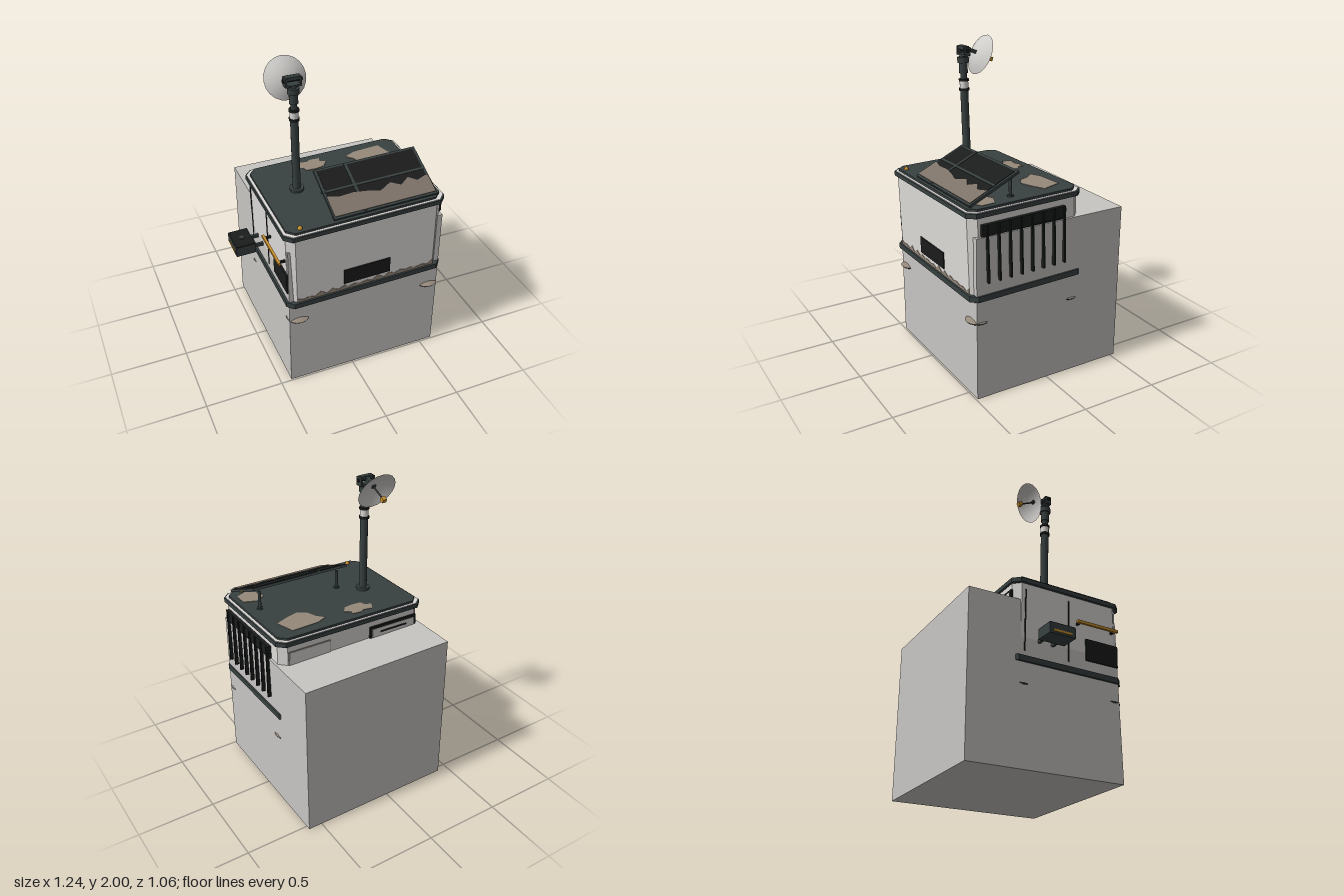
import * as THREE from 'three';

const mat = (name, color, double = false) => {
  const m = new THREE.MeshStandardMaterial({ color });
  m.name = name;
  if (double) m.side = THREE.DoubleSide;
  return m;
};

export function createModel() {
  const model = new THREE.Group();
  model.name = 'fieldShelter';
  const wall = mat('wallWhite', 0xdddbd8), block = mat('blockGrey', 0xc8c6c3);
  const dark = mat('darkSlate', 0x384040), black = mat('black', 0x1b1c1c);
  const mud = mat('mud', 0x96897b), dryMud = mat('panelMud', 0x7d7268);
  const amber = mat('amber', 0xc8902e), dishMat = mat('dishGrey', 0xcfcdca, true);

  const add = (parent, name, geo, material, x = 0, y = 0, z = 0) => {
    const m = new THREE.Mesh(geo, material);
    m.name = name;
    m.position.set(x, y, z);
    parent.add(m);
    return m;
  };
  const box = (parent, name, material, w, h, d, x, y, z) =>
    add(parent, name, new THREE.BoxGeometry(w, h, d), material, x, y, z);
  const cyl = (parent, name, material, r0, r1, h, x, y, z, n = 12) =>
    add(parent, name, new THREE.CylinderGeometry(r0, r1, h, n), material, x, y, z);
  const extrude = (pts, depth) => new THREE.ExtrudeGeometry(
    new THREE.Shape(pts.map(p => new THREE.Vector2(p[0], p[1]))), { depth, bevelEnabled: false });
  // Horizontal slab from x,z outline points
  const slab = (pts, h) => extrude(pts.map(p => [p[0], -p[1]]), h).rotateX(-Math.PI / 2);
  // Horizontal slab with chamfered corners
  const octagon = (a, b, c, h) => slab([[-a + c, -b], [a - c, -b], [a, -b + c], [a, b - c],
    [a - c, b], [-a + c, b], [-a, b - c], [-a, -b + c]], h);

  // Large block that the shelter sinks into
  box(model, 'block', block, 1.02, 1.03, 1.02, 0.08, 0.515, -0.02);

  // Foot pads
  for (const x of [-0.365, 0.53]) for (const z of [0.455, -0.17]) {
    cyl(model, 'footPadRim', dark, 0.072, 0.066, 0.008, x, 0.497, z, 16);
    cyl(model, 'footPad', mud, 0.025, 0.072, 0.018, x, 0.51, z, 16);
  }

  // Shelter, settled at a slight tilt
  const cabin = new THREE.Group();
  cabin.name = 'cabin';
  cabin.position.set(0.078, 0.636, 0.135);
  cabin.rotation.set(0.02, 0, 0.02);
  model.add(cabin);
  add(cabin, 'walls', octagon(0.505, 0.372, 0.045, 0.5), wall, 0, 0.02, 0);
  add(cabin, 'bottomTrim', octagon(0.522, 0.386, 0.04, 0.036), dark);
  add(cabin, 'topTrim', octagon(0.522, 0.386, 0.045, 0.028), dark, 0, 0.508, 0);
  add(cabin, 'roofSeal', octagon(0.515, 0.379, 0.045, 0.012), wall, 0, 0.528, 0);
  add(cabin, 'roof', octagon(0.498, 0.364, 0.045, 0.022), dark, 0, 0.532, 0);

  // Front hatch and splashed mud
  box(cabin, 'frontHatch', black, 0.31, 0.105, 0.009, 0, 0.135, 0.375);
  const splash = [[-0.46, 0.03], [0.46, 0.03]];
  const peaks = [0.075, 0.05, 0.062, 0.046, 0.07, 0.052, 0.058, 0.044, 0.066, 0.05];
  for (let i = 0; i <= 24; i++) splash.push([0.46 - i * 0.92 / 24, peaks[(i * 3) % 10]]);
  add(cabin, 'mudSplash', extrude(splash, 0.004), mud, 0, 0, 0.371);

  // Side vent with upright fins
  box(cabin, 'ventHead', black, 0.022, 0.07, 0.56, 0.517, 0.43, 0.03);
  box(cabin, 'ventBack', black, 0.008, 0.32, 0.56, 0.506, 0.27, 0.03);
  for (let i = 0; i < 8; i++)
    box(cabin, 'ventFin', black, 0.034, 0.35, 0.011, 0.52, 0.285, 0.28 - i * 0.0745);

  // Door seam, grille and grab rail on the other side
  for (const z of [-0.3, 0.0]) box(cabin, 'doorSeam', black, 0.006, 0.4, 0.008, -0.506, 0.27, z);
  box(cabin, 'sideGrille', black, 0.014, 0.14, 0.23, -0.509, 0.175, 0.235);
  box(cabin, 'grabRail', amber, 0.016, 0.018, 0.295, -0.547, 0.33, 0.183);
  for (const z of [0.06, 0.31]) box(cabin, 'railBracket', black, 0.045, 0.014, 0.014, -0.525, 0.33, z);

  // Equipment box on two struts
  box(cabin, 'sideBox', dark, 0.128, 0.066, 0.175, -0.63, 0.163, -0.158);
  box(cabin, 'sideBoxLid', black, 0.122, 0.006, 0.168, -0.63, 0.198, -0.158);
  cyl(cabin, 'lidKnob', dark, 0.016, 0.016, 0.006, -0.63, 0.203, -0.158);
  box(cabin, 'sideBoxStripe', amber, 0.006, 0.014, 0.12, -0.695, 0.15, -0.158);
  for (const z of [-0.205, -0.113]) box(cabin, 'boxStrut', dark, 0.08, 0.022, 0.016, -0.54, 0.15, z);

  // Back hatches
  box(cabin, 'backHatchFrame', black, 0.35, 0.2, 0.016, -0.293, 0.365, -0.375);
  box(cabin, 'backHatch', wall, 0.315, 0.165, 0.006, -0.293, 0.365, -0.383);
  box(cabin, 'backHatchSlot', black, 0.2, 0.012, 0.006, -0.293, 0.42, -0.385);
  box(cabin, 'backPanelEdge', mud, 0.29, 0.13, 0.005, 0.31, 0.4, -0.373);
  box(cabin, 'backPanel', wall, 0.28, 0.12, 0.006, 0.31, 0.4, -0.375);
  box(cabin, 'backPanelLatch', amber, 0.012, 0.02, 0.006, 0.15, 0.365, -0.376);

  // Mud patches on the roof
  const patches = [
    [[-0.14, -0.115], [-0.11, -0.165], [-0.05, -0.155], [-0.03, -0.17], [0.035, -0.165],
      [0.025, -0.135], [0.065, -0.115], [0.03, -0.07], [-0.025, -0.06], [-0.09, -0.065], [-0.1, -0.1]],
    [[0.2, -0.115], [0.27, -0.145], [0.45, -0.155], [0.465, -0.1], [0.487, -0.03], [0.39, 0.01],
      [0.32, 0.03], [0.265, 0.0], [0.24, -0.07]],
    [[0.38, 0.34], [0.45, 0.3], [0.53, 0.33], [0.53, 0.42], [0.46, 0.45], [0.4, 0.42]],
  ];
  for (const p of patches)
    add(cabin, 'roofMud', slab(p.map(([x, z]) => [x - 0.067, z - 0.146]), 0.003), mud, 0, 0.554, 0);

  // Roof marker lamps
  for (const x of [-0.412, 0.405])
    add(cabin, 'markerLamp', new THREE.SphereGeometry(0.015, 12, 6, 0, Math.PI * 2, 0, Math.PI / 2)
      .scale(1, 1.2, 1), amber, x, 0.554, 0.33);

  // Tilted solar panel, hinged at its front edge
  const solar = new THREE.Group();
  solar.name = 'solarPanel';
  solar.position.set(0.13, 0.566, 0.351);
  solar.rotation.x = 0.415;
  cabin.add(solar);
  box(solar, 'panelTray', dark, 0.675, 0.016, 0.355, 0, 0, -0.177);
  box(solar, 'panelCells', black, 0.64, 0.006, 0.325, 0, 0.008, -0.177);
  box(solar, 'panelMullion', dark, 0.018, 0.008, 0.34, -0.135, 0.01, -0.177);
  box(solar, 'panelRail', dark, 0.65, 0.008, 0.014, 0, 0.01, -0.188);
  const crust = [[-0.33, -0.012], [-0.33, -0.155], [-0.25, -0.135], [-0.16, -0.14], [-0.07, -0.125],
    [0, -0.105], [0.08, -0.145], [0.14, -0.11], [0.2, -0.15], [0.25, -0.115], [0.33, -0.14], [0.33, -0.012]];
  add(solar, 'panelMud', slab(crust.reverse(), 0.004), dryMud, 0, 0.0125, 0);
  for (const x of [-0.147, 0.413]) {
    cyl(cabin, 'panelPost', dark, 0.01, 0.01, 0.13, x, 0.61, 0.055, 8);
    cyl(cabin, 'postFoot', dark, 0.02, 0.02, 0.01, x, 0.558, 0.055, 8);
  }

  // Antenna mast: radius bottom, radius top, from, to
  const mast = new THREE.Group();
  mast.name = 'mast';
  mast.position.set(-0.287, 0, -0.046);
  cabin.add(mast);
  const rings = [
    ['mastFlange', dark, 0.045, 0.554, 0.57], ['mastTube', dark, 0.025, 0.56, 1.06],
    ['lowerCollar', black, 0.032, 1.04, 1.056], ['mastBand', wall, 0.027, 1.056, 1.1],
    ['upperCollar', black, 0.032, 1.1, 1.114], ['mastNeck', dark, 0.02, 1.1, 1.27],
    ['mastCap', dark, 0.027, 1.15, 1.23], ['mastHeadRing', dark, 0.036, 1.215, 1.25],
  ];
  for (const [name, m, r, a, b] of rings) cyl(mast, name, m, r, r, b - a, 0, (a + b) / 2, 0);

  // Pivot head
  const head = new THREE.Group();
  head.name = 'dishHead';
  head.position.set(-0.236, 1.92, 0.108);
  model.add(head);
  box(head, 'headYoke', dark, 0.09, 0.012, 0.045, 0, -0.025, 0);
  for (const x of [-0.045, 0.045]) box(head, 'yokeCheek', dark, 0.012, 0.055, 0.045, x, -0.002, 0);
  cyl(head, 'pivotBar', black, 0.011, 0.011, 0.12, 0, 0.005, 0).rotation.z = Math.PI / 2;
  box(head, 'headMotor', dark, 0.085, 0.022, 0.035, 0, 0.018, 0);
  box(head, 'dishArm', dark, 0.025, 0.022, 0.1, 0, 0, -0.045).rotation.x = -0.4;

  // Dish aimed backwards and slightly down, local +y along its axis
  const dish = new THREE.Group();
  dish.name = 'dish';
  dish.position.set(-0.236, 1.902, 0.026);
  dish.quaternion.setFromUnitVectors(new THREE.Vector3(0, 1, 0),
    new THREE.Vector3(0, -0.415, -0.91).normalize());
  model.add(dish);
  const bowl = [0, 0.25, 0.5, 0.75, 1].map(t => new THREE.Vector2(0.001 + 0.129 * t, 0.042 * t * t));
  add(dish, 'dishBowl', new THREE.LatheGeometry(bowl, 20), dishMat);
  cyl(dish, 'feedRod', dark, 0.005, 0.005, 0.115, 0, 0.057, 0, 8);
  box(dish, 'feedHorn', amber, 0.028, 0.028, 0.026, 0, 0.118, 0);

  return model;
}
